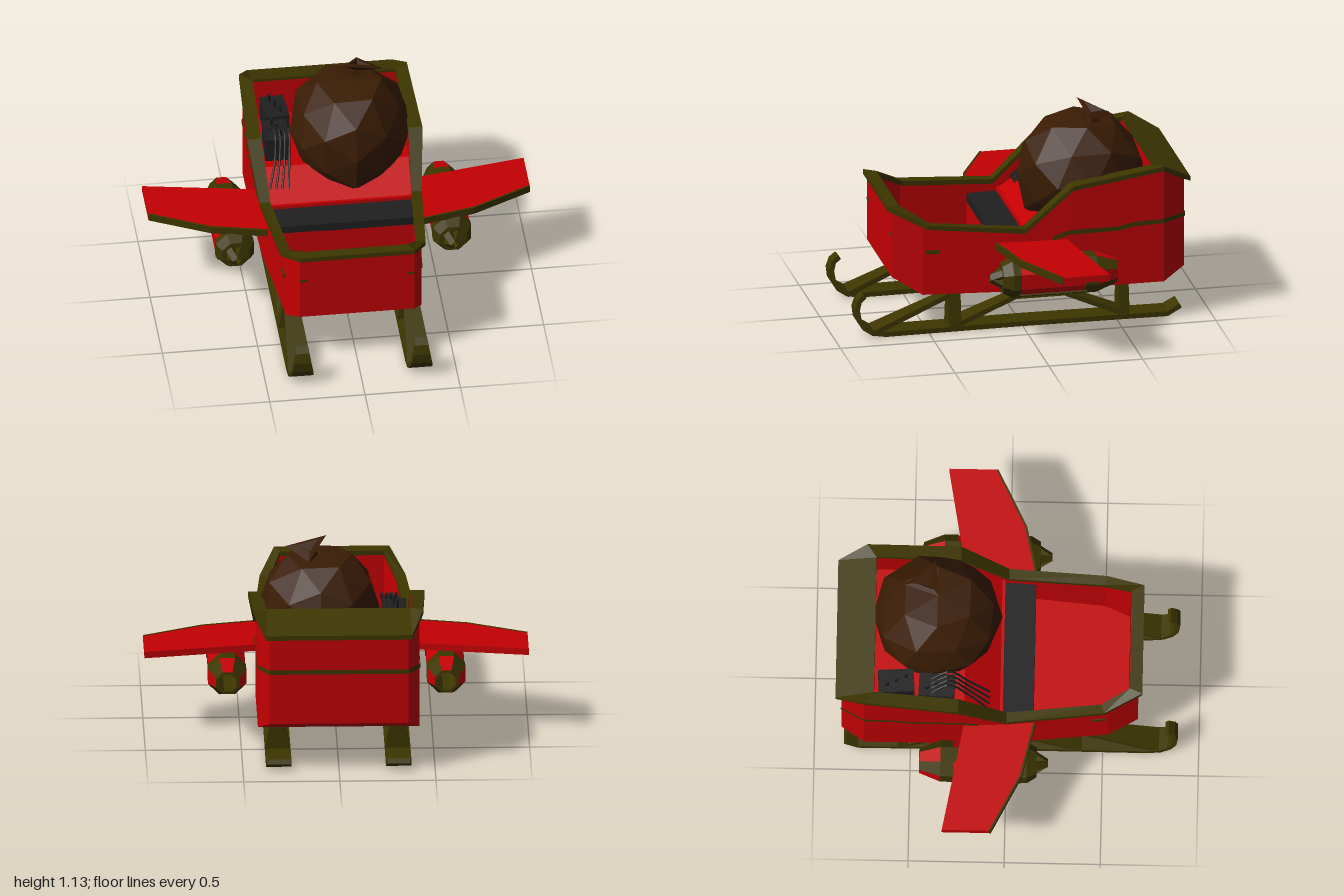
import * as THREE from 'three';

const mat = (name, color) => Object.assign(
  new THREE.MeshStandardMaterial({ color, flatShading: true, side: THREE.DoubleSide }), { name });
const red = mat('red paint', 0xc40003);
const olive = mat('olive trim', 0x3d3600);
const brown = mat('brown sack', 0x3a1c04);
const dark = mat('dark grey', 0x1f1f20);

function add(parent, name, geometry, material, x = 0, y = 0, z = 0) {
  const mesh = new THREE.Mesh(geometry, material);
  mesh.name = name;
  mesh.position.set(x, y, z);
  parent.add(mesh);
  return mesh;
}

// Skins rows of [x, y, z] points; rows and the row list can each be closed.
function loft(rows, { ring = false, loop = false, caps = false } = {}) {
  const pos = [];
  const quad = (a, b, c, d) => pos.push(...a, ...b, ...c, ...a, ...c, ...d);
  const n = rows[0].length;
  for (let i = 0; i < rows.length - (loop ? 0 : 1); i++) {
    const p = rows[i], q = rows[(i + 1) % rows.length];
    for (let j = 0; j < n - (ring ? 0 : 1); j++) {
      const k = (j + 1) % n;
      quad(p[j], q[j], q[k], p[k]);
    }
  }
  if (caps) {
    quad(...rows[0]);
    quad(...[...rows[rows.length - 1]].reverse());
  }
  const g = new THREE.BufferGeometry();
  g.setAttribute('position', new THREE.Float32BufferAttribute(pos, 3));
  g.computeVertexNormals();
  return g;
}

// Continues rows of points on the left side around to the right side.
const mirrored = rows => [...rows, ...[...rows].reverse().map(row => row.map(([x, y, z]) => [-x, y, z]))];

function buildBody(g) {
  // Hull stations: half width, z, top, bottom
  const hull = [[0.30, 0.682, 0.67, 0.30], [0.355, 0.53, 0.585, 0.21], [0.41, 0, 0.535, 0.21],
    [0.42, -0.25, 0.76, 0.21], [0.42, -0.74, 0.835, 0.21], [0.36, -0.86, 0.77, 0.27]];
  add(g, 'hull', loft(hull.map(([x, z, t, b]) => [[-x, t, z], [-x, b, z], [x, b, z], [x, t, z]])), red);
  for (const [name, [x, z, t, b]] of [['hullFront', hull[0]], ['hullBack', hull[5]]])
    add(g, name, loft([[[-x, t, z], [x, t, z]], [[-x, b, z], [x, b, z]]]), red);

  // Inner walls and the stepped floor, seat, sloping back and rear deck
  const inner = [[0.27, 0.635, 0.65], [0.33, 0.5, 0.575], [0.375, 0, 0.535], [0.385, -0.25, 0.76], [0.385, -0.69, 0.83]];
  add(g, 'innerWalls', loft(mirrored(inner.map(([x, z, t]) => [[x, t, z], [x, 0.27, z]])), { loop: true }), red);
  const halfWidth = z => {
    for (let i = 0; i < 4; i++) {
      const [xa, za] = inner[i], [xb, zb] = inner[i + 1];
      if (z >= zb) return xa + (xb - xa) * (z - za) / (zb - za);
    }
    return 0.385;
  };
  const steps = [[0.635, 0.28], [0.5, 0.28], [0.14, 0.28], [0.14, 0.45], [-0.02, 0.45],
    [-0.02, 0.51], [-0.035, 0.51], [-0.22, 0.62], [-0.69, 0.62]];
  add(g, 'floorAndSeat', loft(steps.map(([z, y]) => [[-halfWidth(z), y, z], [halfWidth(z), y, z]])), red);
  add(g, 'seatCushion', new THREE.BoxGeometry(0.74, 0.045, 0.16), dark, 0, 0.468, 0.06);

  // Rim: outer x, y, z then inner x, y, z
  const rim = [[0.30, 0.69, 0.705, 0.27, 0.685, 0.64], [0.38, 0.6, 0.51, 0.33, 0.595, 0.49],
    [0.425, 0.555, 0, 0.37, 0.555, 0], [0.46, 0.785, -0.25, 0.385, 0.785, -0.25],
    [0.44, 0.85, -0.74, 0.375, 0.845, -0.69], [0.38, 0.765, -0.89, 0.37, 0.845, -0.69]];
  add(g, 'rim', loft(mirrored(rim.map(([a, b, c, d, e, f]) =>
    [[a, b, c], [d, e, f], [d, e - 0.025, f], [a, b - 0.025, c]])), { ring: true, loop: true }), olive);

  // Painted stripe around the rear and small dashes near the front
  const stripe = [[0.42, 0.49, -0.15], [0.425, 0.52, -0.23], [0.425, 0.522, -0.5],
    [0.425, 0.54, -0.58], [0.425, 0.545, -0.742], [0.363, 0.555, -0.865]];
  add(g, 'stripe', loft(mirrored(stripe.map(([x, y, z]) => [[x, y + 0.012, z], [x, y - 0.012, z]]))), olive);
  for (const s of [-1, 1]) {
    add(g, 'sideDash', new THREE.BoxGeometry(0.009, 0.02, 0.07), olive, s * 0.361, 0.445, 0.48).rotation.y = -s * 0.1;
    add(g, 'cornerDash', new THREE.BoxGeometry(0.04, 0.012, 0.006), olive, s * 0.28, 0.53, 0.682);
  }
}

// A flat bar along a [z, y] path, wider near the ground
function skidBar(path, thick) {
  const rows = path.map(([z, y], i) => {
    const a = path[Math.max(i - 1, 0)], b = path[Math.min(i + 1, path.length - 1)];
    const len = Math.hypot(b[0] - a[0], b[1] - a[1]);
    const nz = -(b[1] - a[1]) / len * thick / 2, ny = (b[0] - a[0]) / len * thick / 2;
    const w = 0.069 - 0.036 * Math.min(y / 0.22, 1);
    return [[-w, y + ny, z + nz], [w, y + ny, z + nz], [w, y - ny, z - nz], [-w, y - ny, z - nz]];
  });
  return loft(rows, { ring: true, caps: true });
}

function buildSkid(side) {
  const skid = new THREE.Group();
  skid.name = 'skid';
  skid.position.x = 0.312;
  add(skid, 'runner', skidBar([[0.835, 0.22], [0.865, 0.195], [0.878, 0.15], [0.87, 0.095], [0.845, 0.055],
    [0.8, 0.025], [0.73, 0.014], [0, 0.018], [-0.77, 0.014], [-0.84, 0.052]], 0.026), olive);
  add(skid, 'frontPost', skidBar([[0.36, 0.02], [0.36, 0.215]], 0.065), olive);
  add(skid, 'rearPost', skidBar([[-0.54, 0.02], [-0.54, 0.215]], 0.055), olive);
  for (const path of [[[0.8, 0.02], [0.37, 0.2]], [[0.36, 0.03], [-0.1, 0.215]], [[-0.1, 0.215], [-0.54, 0.03]]])
    add(skid, 'brace', skidBar(path, 0.026), olive);
  side.add(skid);
}

function buildWing(side) {
  const outline = [[0.4, 0.145], [0.69, 0.08], [1, -0.075], [1, -0.325], [0.69, -0.27], [0.4, -0.22]];
  const shape = new THREE.Shape(outline.map(([x, z]) => new THREE.Vector2(x, -z)));
  const g = new THREE.ExtrudeGeometry(shape, { depth: 0.035, bevelEnabled: false });
  g.rotateX(-Math.PI / 2);
  add(side, 'wing', g, red, 0, 0.447, 0);
  add(side, 'wingLeadingEdge', loft(outline.slice(0, 3).map(([x, z]) =>
    [[x, 0.484, z - 0.005], [x, 0.484, z + 0.006], [x, 0.445, z + 0.006], [x, 0.445, z - 0.005]]),
  { ring: true, caps: true }), olive);
}

// Eight-sided tube section between two z positions
function section(z0, r0, z1, r1, isRed) {
  const g = new THREE.CylinderGeometry(r0, r1, z0 - z1, 8, 1, true, Math.PI / 8);
  g.rotateX(Math.PI / 2).translate(0, 0, (z0 + z1) / 2);
  g.clearGroups();
  for (let i = 0; i < 8; i++) g.addGroup(i * 6, 6, isRed(i) ? 1 : 0);
  return g;
}

function buildEngine(side) {
  const engine = new THREE.Group();
  engine.name = 'engine';
  engine.position.set(0.57, 0.35, 0);
  const R = 0.108, mats = [olive, red], none = () => false;
  add(engine, 'intakeLip', section(0.161, 0.05, 0.16, 0.078, none), mats);
  add(engine, 'intakeTaper', section(0.16, 0.078, 0.11, R, none), mats);
  add(engine, 'frontBand', section(0.11, R, 0.07, R, none), mats);
  add(engine, 'casing', section(0.07, R - 0.004, -0.27, R - 0.004, i => i !== 3), mats);
  add(engine, 'rearBand', section(-0.27, R, -0.34, R, none), mats);
  add(engine, 'exhaustTaper', section(-0.34, R, -0.45, 0.065, i => i % 2 === 1), mats);
  add(engine, 'exhaustLip', section(-0.45, 0.065, -0.451, 0.05, none), mats);
  add(engine, 'innerTube', section(0.16, 0.05, -0.45, 0.05, none), mats);

  // Four pointed intake vanes
  const vane = new THREE.Shape([[0.055, 0.1], [0.055, 0.16], [0.014, 0.22], [0.014, 0.1]]
    .map(([r, z]) => new THREE.Vector2(r, z)));
  for (let i = 0; i < 4; i++) {
    const g = new THREE.ExtrudeGeometry(vane, { depth: 0.036, bevelEnabled: false });
    g.translate(0, 0, -0.018).rotateX(Math.PI / 2).rotateZ(Math.PI / 4 + i * Math.PI / 2);
    add(engine, 'intakeVane', g, olive);
  }
  // Thin pipes along the underside of the casing
  for (const a of [-0.75, -1.4, -1.75]) {
    const r = 0.112;
    add(engine, 'pipe', new THREE.BoxGeometry(0.009, 0.009, 0.36), olive, r * Math.cos(a), r * Math.sin(a), -0.1).rotation.z = a;
  }
  side.add(engine);
}

function buildSack(g) {
  // Lumpy faceted sack with a flattened top
  const geo = new THREE.IcosahedronGeometry(1, 1);
  const p = geo.attributes.position, v = new THREE.Vector3();
  for (let i = 0; i < p.count; i++) {
    v.fromBufferAttribute(p, i);
    v.multiplyScalar(1 + 0.04 * Math.sin(7 * v.x + 3 * v.y) * Math.cos(5 * v.z + 2 * v.y));
    p.setXYZ(i, v.x * 0.32, Math.min(v.y * 0.34, 0.3), v.z * 0.338);
  }
  geo.computeVertexNormals();
  add(g, 'sack', geo, brown, 0.09, 0.74, -0.367);

  // Tied neck flaring into a three-cornered mouth
  const mouth = [[0.055, 1.13, -0.355], [0.15, 1.05, -0.54], [0.27, 1.08, -0.38]];
  const neck = [0.14, 1.05, -0.42];
  const toward = (f, dy) => mouth.map(c => c.map((n, k) => neck[k] + (n - neck[k]) * f + (k === 1 ? dy : 0)));
  add(g, 'sackMouth', loft([toward(0.5, -0.05), toward(0.22, 0), mouth, toward(0.5, 0.03), toward(0.05, 0.01)], { ring: true }), brown);
}

function buildEquipment(g) {
  // Control boxes with knobs and loose cables
  for (const [x, z, tilt] of [[-0.275, -0.575, 0.06], [-0.295, -0.365, -0.04]]) {
    const box = add(g, 'controlBox', new THREE.BoxGeometry(0.125, 0.13, 0.185), dark, x, 0.685, z);
    box.rotation.y = tilt;
    for (const dz of [-0.05, 0, 0.05])
      add(box, 'knob', new THREE.CylinderGeometry(0.01, 0.01, 0.05, 6), dark, 0.02 * Math.sign(dz), 0.08, dz);
  }
  for (let i = 0; i < 4; i++) {
    const x = -0.34 + i * 0.025;
    const curve = new THREE.CatmullRomCurve3([[x, 0.74, -0.4], [x + 0.03, 0.79, -0.3],
      [x + 0.02, 0.68, -0.2], [x - 0.02 + i * 0.008, 0.57, -0.09]].map(a => new THREE.Vector3(...a)));
    add(g, 'cable', new THREE.TubeGeometry(curve, 12, 0.006, 5), dark);
  }
}

export function createModel() {
  const model = new THREE.Group();
  model.name = 'sleigh';
  buildBody(model);
  for (const s of [1, -1]) {
    const side = new THREE.Group();
    side.name = s > 0 ? 'leftSide' : 'rightSide';
    side.scale.x = s;
    buildSkid(side);
    buildWing(side);
    buildEngine(side);
    model.add(side);
  }
  buildSack(model);
  buildEquipment(model);
  return model;
}
